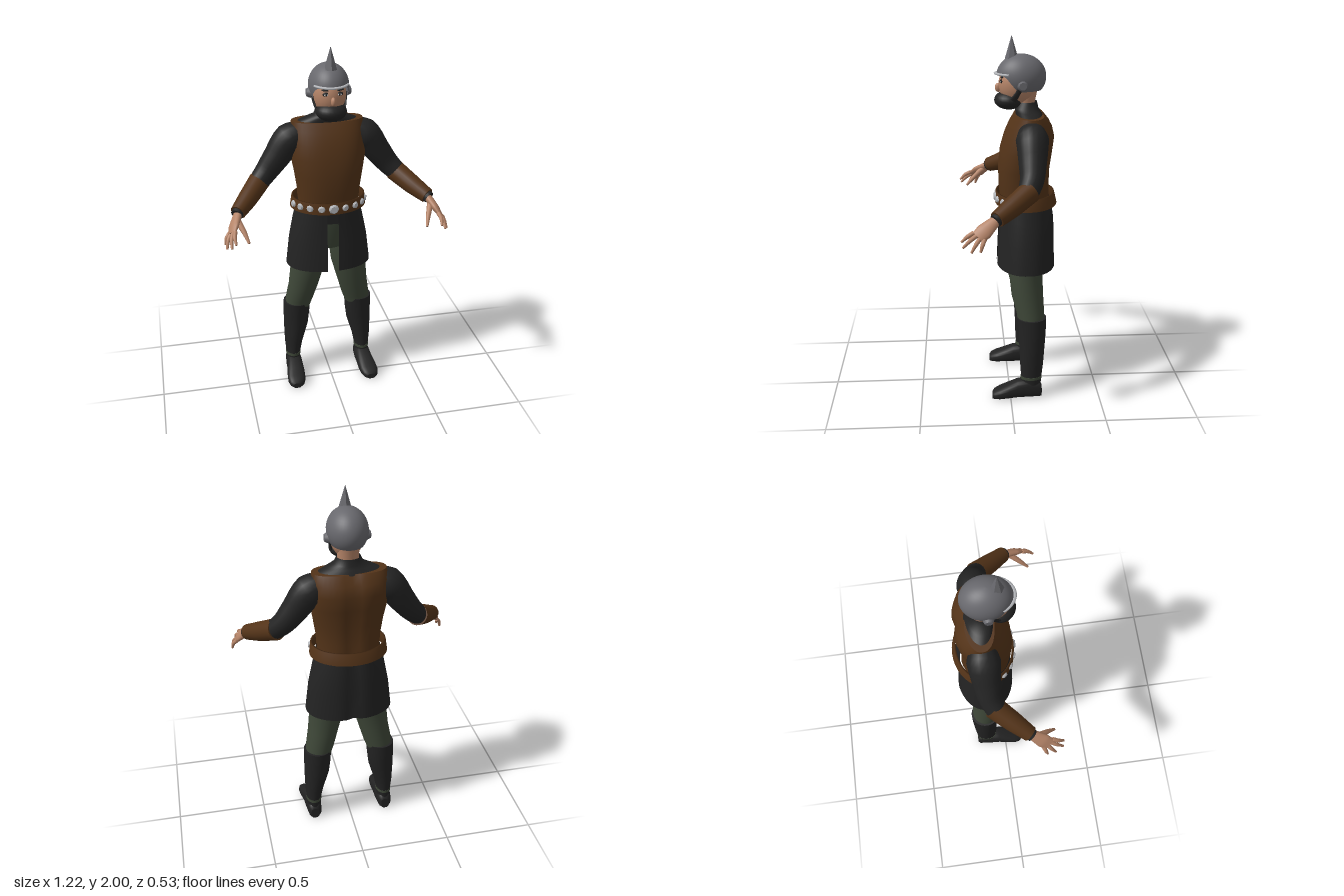
import * as THREE from 'three';

const V = (x, y, z) => new THREE.Vector3(x, y, z);
const paint = (name, color, side = THREE.FrontSide) => {
  const m = new THREE.MeshStandardMaterial({ color, side });
  m.name = name;
  return m;
};

// Skin a list of point loops; optionally leave the loop open or cap both ends.
function loft(rings, { closed = true, caps = true } = {}) {
  const n = rings[0].length, pos = [], idx = [];
  rings.forEach(r => r.forEach(p => pos.push(p.x, p.y, p.z)));
  for (let i = 0; i < rings.length - 1; i++)
    for (let j = 0; j < (closed ? n : n - 1); j++) {
      const k = (j + 1) % n, a = i * n + j, b = i * n + k, c = b + n, d = a + n;
      idx.push(a, b, c, a, c, d);
    }
  if (caps) [rings[0], rings[rings.length - 1]].forEach((r, end) => {
    const base = pos.length / 3;
    const mid = r.reduce((s, p) => s.add(p), V(0, 0, 0)).divideScalar(n);
    [...r, mid].forEach(p => pos.push(p.x, p.y, p.z));
    for (let j = 0; j < n; j++) {
      const a = base + j, b = base + (j + 1) % n;
      end ? idx.push(a, b, base + n) : idx.push(b, a, base + n);
    }
  });
  const g = new THREE.BufferGeometry();
  g.setAttribute('position', new THREE.Float32BufferAttribute(pos, 3));
  g.setIndex(idx);
  g.computeVertexNormals();
  return g;
}

// Rounded loop around c; power below 1 makes it boxier, gap leaves a slit at the start.
function ring(c, u, v, a, b, power = 1, n = 28, gap = 0) {
  const bend = q => Math.sign(q) * Math.abs(q) ** power;
  return Array.from({ length: gap ? n + 1 : n }, (_, j) => {
    const t = gap + (j / n) * (2 * Math.PI - 2 * gap);
    return c.clone().addScaledVector(u, a * bend(Math.sin(t))).addScaledVector(v, b * bend(Math.cos(t)));
  });
}
const X = V(1, 0, 0), Y = V(0, 1, 0), Z = V(0, 0, 1);

// Level loop given as height, centre x, half width, front z, back z; groove dents the back.
function level([y, cx, rx, zf, zb], power = 1, groove = 0, slit = 0) {
  const r = ring(V(cx, y, (zf + zb) / 2), X, Z, rx, (zf - zb) / 2, power, 40, slit ? Math.asin(slit / rx) : 0);
  r.forEach(p => { if (p.z < (zf + zb) / 2) p.z += groove * Math.exp(-((p.x / 0.035) ** 2)); });
  return r;
}

// Limb along a smooth path, with half sizes [a, b] interpolated between points.
function limb(points, sizes, side = Z, n = 16) {
  const curve = new THREE.CatmullRomCurve3(points), steps = (points.length - 1) * 4, rings = [];
  for (let i = 0; i <= steps; i++) {
    const t = i / steps, f = t * (points.length - 1), k = Math.min(Math.floor(f), points.length - 2);
    const T = curve.getTangent(t), u = side.clone().addScaledVector(T, -side.dot(T)).normalize();
    const at = e => THREE.MathUtils.lerp([sizes[k]].flat().at(e), [sizes[k + 1]].flat().at(e), f - k);
    rings.push(ring(curve.getPoint(t), u, u.clone().cross(T), at(0), at(-1), 1, n));
  }
  return loft(rings);
}

export function createModel() {
  const D = THREE.DoubleSide, model = new THREE.Group();
  const cloth = paint('dark cloth', 0x232323, D), leather = paint('brown leather', 0x533318, D);
  const hose = paint('green hose', 0x3e4738, D), steel = paint('helmet steel', 0x68686d, D);
  const skin = paint('skin', 0xb58468), silver = paint('silver', 0xb4b6ba), white = paint('eye white', 0xdcdcdc);
  const add = (name, geo, mat, parent = model) => {
    const m = new THREE.Mesh(geo, mat);
    m.name = name;
    parent.add(m);
    return m;
  };
  const ball = (name, mat, x, y, z, a, b, c) => {
    const m = add(name, new THREE.SphereGeometry(1, 24, 16), mat);
    m.position.set(x, y, z);
    m.scale.set(a, b, c);
    return m;
  };

  // Vest, yoke and collar
  add('vest', loft([
    [1.11, 0, 0.168, 0.045, -0.225], [1.2, 0, 0.172, 0.053, -0.22], [1.3, 0, 0.187, 0.056, -0.222],
    [1.4, 0, 0.205, 0.045, -0.235], [1.48, 0, 0.205, 0.022, -0.245], [1.54, 0, 0.203, -0.005, -0.23],
    [1.588, 0, 0.195, -0.035, -0.19],
  ].map(r => level(r, 0.85, 0.015))), leather);
  add('collar', loft([
    [1.58, 0, 0.178, -0.04, -0.185], [1.605, 0, 0.12, -0.037, -0.17],
    [1.62, 0, 0.078, -0.03, -0.16], [1.655, 0, 0.062, -0.045, -0.152],
  ].map(r => level(r)), { caps: false }), cloth);

  // Skirt with a front slit
  add('skirt', loft([
    [0.745, 0, 0.24, 0.065, -0.258], [0.9, 0, 0.222, 0.058, -0.252],
    [1.02, 0, 0.198, 0.05, -0.25], [1.13, 0, 0.173, 0.047, -0.235],
  ].map(r => level(r, 0.92, 0.02, 0.027)), { closed: false, caps: false }), cloth);
  add('pelvis', loft([[0.86, 0, 0.1, 0.0, -0.19], [1.0, 0, 0.16, 0.03, -0.21], [1.1, 0, 0.16, 0.03, -0.21]]
    .map(r => level(r))), hose);
  add('slitTop', new THREE.BoxGeometry(0.06, 0.08, 0.006), cloth).position.set(0, 1.07, 0.043);

  // Belt: a thick band standing off the body
  add('belt', loft([
    [1.098, 0, 0.212, 0.072, -0.265], [1.162, 0, 0.204, 0.07, -0.25],
    [1.162, 0, 0.194, 0.06, -0.24], [1.098, 0, 0.2, 0.06, -0.253], [1.098, 0, 0.212, 0.072, -0.265],
  ].map(r => level(r)), { caps: false }), leather);
  for (let k = -4; k <= 4; k++) {
    const t = k * 0.325, r = k ? 0.023 : 0.032;
    const stud = add('beltStud', new THREE.CylinderGeometry(r * 0.6, r, 0.014, 8).rotateX(Math.PI / 2), silver);
    stud.position.set(0.21 * Math.sin(t), 1.13, -0.095 + 0.168 * Math.cos(t));
    stud.rotation.y = Math.atan2(Math.sin(t) / 0.21, Math.cos(t) / 0.168);
  }

  // Neck, head and mask
  add('neck', loft([[1.58, 0, 0.055, -0.04, -0.145], [1.65, 0, 0.055, -0.035, -0.14], [1.74, 0, 0.062, -0.01, -0.16]]
    .map(r => level(r))), skin);
  ball('head', skin, 0, 1.745, -0.05, 0.087, 0.115, 0.102);
  ball('nose', skin, 0, 1.728, 0.053, 0.013, 0.024, 0.018);
  ball('mask', cloth, 0, 1.662, -0.003, 0.083, 0.05, 0.078);

  // Helmet dome, low at the nape and raised over the face
  const dome = [];
  for (let i = 0; i <= 16; i++)
    dome.push(Array.from({ length: 40 }, (_, j) => {
      const p = (j / 40) * 2 * Math.PI, low = THREE.MathUtils.smoothstep(-Math.cos(p), -0.75, -0.1);
      const th = (1 - i / 16) * (1.48 + 0.72 * low) + 0.001;
      return V(0.107 * Math.sin(th) * Math.sin(p), 1.785 + 0.118 * Math.cos(th), -0.068 + 0.132 * Math.sin(th) * Math.cos(p));
    }));
  add('helmet', loft(dome, { caps: false }), steel);
  const spike = add('helmetSpike', new THREE.ConeGeometry(0.035, 0.12, 6).toNonIndexed(), steel);
  spike.geometry.computeVertexNormals();
  spike.position.set(0, 1.94, -0.017);
  const brim = add('brim', new THREE.TorusGeometry(0.1, 0.009, 8, 24, 2.1).rotateZ(Math.PI / 2 - 1.05).rotateX(Math.PI / 2), silver);
  brim.scale.set(1, 0.7, 1.3);
  brim.position.set(0, 1.803, -0.065);

  for (const s of [1, -1]) {
    const P = (x, y, z) => V(s * x, y, z);

    // Ear rosette, cheek strap and eyes
    add('earRosette', new THREE.CylinderGeometry(0.02, 0.03, 0.022, 10).rotateZ(-s * Math.PI / 2), steel)
      .position.set(s * 0.108, 1.75, -0.07);
    add('cheekStrap', limb([P(0.092, 1.745, -0.06), P(0.086, 1.71, -0.045), P(0.075, 1.67, -0.02)],
      [[0.014, 0.006], [0.014, 0.006], [0.018, 0.006]]), cloth);
    ball('eyeLine', cloth, s * 0.035, 1.766, 0.039, 0.019, 0.011, 0.006);
    ball('eye', white, s * 0.035, 1.764, 0.042, 0.013, 0.006, 0.005);
    ball('pupil', cloth, s * 0.035, 1.764, 0.045, 0.005, 0.006, 0.003);
    ball('brow', cloth, s * 0.037, 1.786, 0.036, 0.022, 0.005, 0.008).rotation.z = s * 0.12;

    // Sleeve and forearm cuff
    add('sleeve', limb([P(0.12, 1.525, -0.11), P(0.205, 1.488, -0.112), P(0.28, 1.39, -0.108), P(0.34, 1.312, -0.1), P(0.4, 1.25, -0.07)],
      [0.06, 0.086, 0.073, 0.062, 0.053], Z, 20), cloth);
    add('forearmCuff', limb([P(0.38, 1.267, -0.088), P(0.455, 1.212, 0.005), P(0.52, 1.17, 0.085)],
      [0.059, 0.053, 0.042], Z, 20), leather);
    add('wristBand', limb([P(0.51, 1.176, 0.073), P(0.528, 1.163, 0.096)], [0.034, 0.033]), cloth);

    // Hand with spread fingers
    const across = P(0.4, -0.45, -0.8).normalize(), knuckle = P(0.562, 1.1, 0.175);
    add('palm', limb([P(0.515, 1.172, 0.08), P(0.535, 1.145, 0.118), P(0.552, 1.12, 0.15), P(0.566, 1.095, 0.182)],
      [[0.026, 0.022], [0.034, 0.021], [0.042, 0.019], [0.036, 0.012]], across), skin);
    [[0.552, 1.068, 0.262], [0.575, 1.045, 0.256], [0.597, 1.026, 0.215], [0.602, 1.03, 0.17]].forEach((t, k) => {
      const from = knuckle.clone().addScaledVector(across, (k - 1.5) * 0.021), tip = P(...t);
      const bend = from.clone().lerp(tip, 0.5).add(P(0.005, 0.006, 0));
      add('finger', limb([from, bend, tip], [0.012, 0.0105, 0.006], across, 10), skin);
    });
    add('thumb', limb([P(0.527, 1.14, 0.125), P(0.5, 1.095, 0.18), P(0.482, 1.052, 0.223)], [0.018, 0.013, 0.007], across, 10), skin);

    // Leg, boot and foot
    const column = rows => loft(rows.map(([y, cx, ...r]) => level([y, s * cx, ...r])));
    add('leg', column([
      [0.44, 0.18, 0.07, -0.045, -0.19], [0.5, 0.168, 0.08, -0.037, -0.19], [0.6, 0.145, 0.086, -0.01, -0.185],
      [0.74, 0.118, 0.099, 0.005, -0.18], [0.9, 0.1, 0.1, 0.01, -0.2], [1.1, 0.085, 0.085, 0, -0.2],
    ]), hose);
    add('boot', column([
      [0.07, 0.212, 0.04, -0.055, -0.17], [0.13, 0.211, 0.042, -0.06, -0.175], [0.2, 0.207, 0.052, -0.055, -0.183],
      [0.32, 0.191, 0.071, -0.05, -0.193], [0.4, 0.186, 0.076, -0.045, -0.198], [0.48, 0.182, 0.078, -0.036, -0.2],
    ]), cloth);
    add('ankleGap', column([[0.118, 0.211, 0.044, -0.057, -0.177], [0.134, 0.211, 0.044, -0.057, -0.177]]), hose);
    add('foot', loft([
      [-0.176, 0.213, 0.024, 0.07], [-0.163, 0.212, 0.038, 0.098], [-0.1, 0.212, 0.046, 0.118], [-0.04, 0.213, 0.047, 0.106],
      [0.01, 0.217, 0.052, 0.085], [0.06, 0.221, 0.052, 0.064], [0.09, 0.223, 0.042, 0.05], [0.103, 0.224, 0.024, 0.036],
    ].map(([z, cx, w, top]) => ring(V(s * cx, (top + 0.004) / 2, z), Y, X, (top - 0.004) / 2, w, 0.75, 24))), cloth);
  }
  return model;
}
